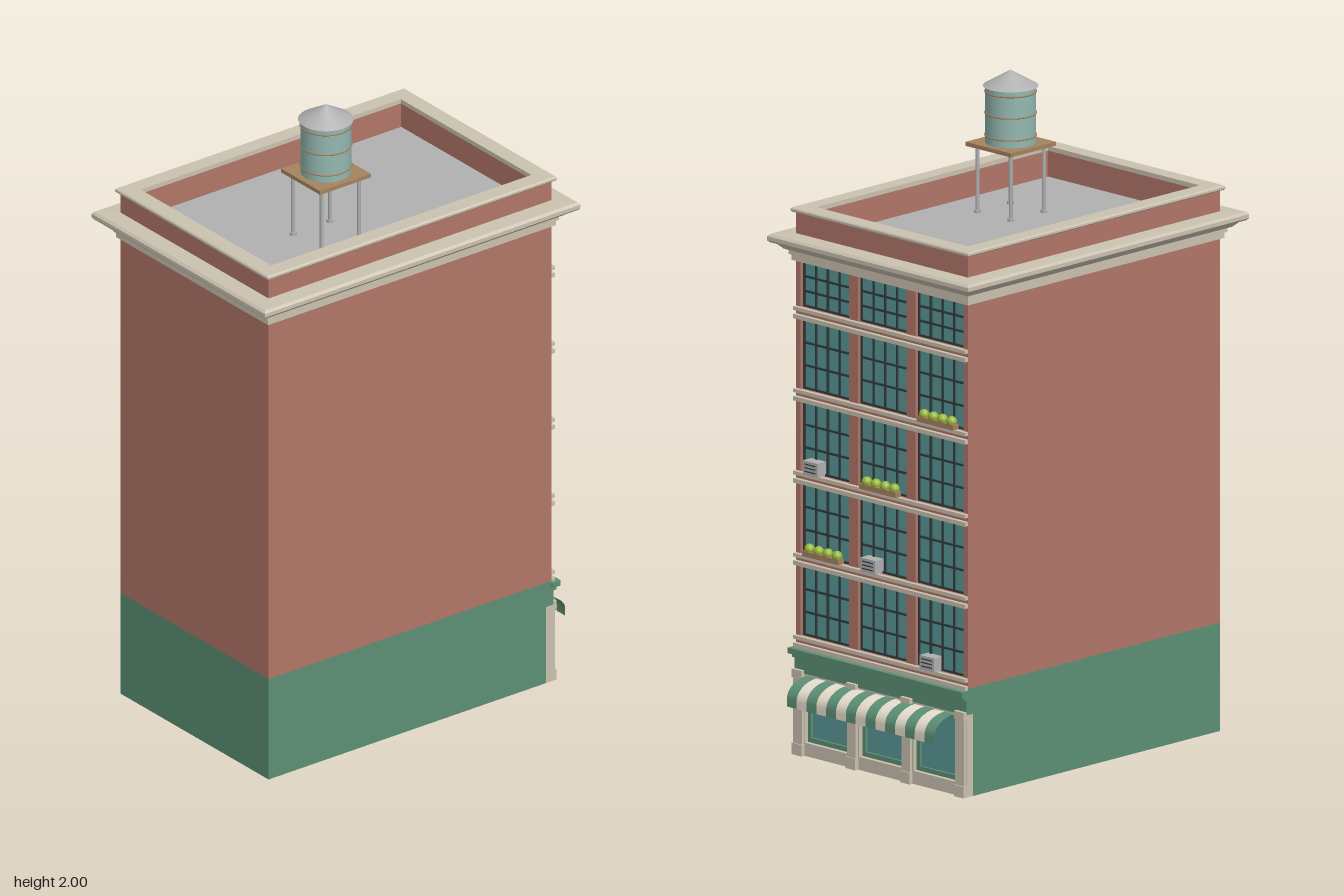
import * as THREE from 'three';

const mat = (name, color, extra = {}) => new THREE.MeshStandardMaterial({ name, color, ...extra });

export function createModel() {
  const brick = mat('brick', 0xb27668), green = mat('green paint', 0x5c9075, { side: THREE.DoubleSide });
  const stone = mat('stone', 0xcbc2b0), grey = mat('grey metal', 0xb0b0b0);
  const wood = mat('wood', 0xa5835f), tankBlue = mat('tank', 0x93b8b0);
  const glass = mat('glass', 0x5a9698), dark = mat('dark frame', 0x2f3d3d);
  const lime = mat('leaves', 0x98b83a), cream = mat('cream canvas', 0xe6ddcc, { side: THREE.DoubleSide });

  const model = new THREE.Group();
  model.name = 'building';

  const add = (name, geo, material, parent = model) => {
    const m = new THREE.Mesh(geo, material);
    m.name = name;
    parent.add(m);
    return m;
  };
  const group = (name) => {
    const g = new THREE.Group();
    g.name = name;
    model.add(g);
    return g;
  };
  // box given by its limits on each axis
  const box = (name, x0, x1, y0, y1, z0, z1, material, parent) => {
    const m = add(name, new THREE.BoxGeometry(x1 - x0, y1 - y0, z1 - z0), material, parent);
    m.position.set((x0 + x1) / 2, (y0 + y1) / 2, (z0 + z1) / 2);
    return m;
  };

  const W = 0.355, BACK = -0.51, FRONT = 0.54, INNER = -0.49;
  const ZC = (BACK + FRONT) / 2, ZH = (FRONT - BACK) / 2;

  // sweep an [offset, y] profile round the rectangular plan with mitred corners
  const rectSweep = (profile) => {
    const corners = [[-1, -1], [-1, 1], [1, 1], [1, -1]];
    const pos = [];
    const pt = ([sx, sz], [o, y]) => [sx * (W + o), y, ZC + sz * (ZH + o)];
    for (let i = 0; i < profile.length - 1; i++) {
      for (let k = 0; k < 4; k++) {
        const c0 = corners[k], c1 = corners[(k + 1) % 4];
        const a = pt(c0, profile[i]), b = pt(c1, profile[i]);
        const c = pt(c1, profile[i + 1]), d = pt(c0, profile[i + 1]);
        pos.push(...a, ...b, ...c, ...a, ...c, ...d);
      }
    }
    const g = new THREE.BufferGeometry();
    g.setAttribute('position', new THREE.Float32BufferAttribute(pos, 3));
    g.computeVertexNormals();
    return g;
  };

  // flat wall with rectangular openings [x0, x1, y0, y1]
  const piercedWall = (x, y0, y1, z0, z1, openings) => {
    const rect = (P, a, b, c, d) => {
      const p = new P();
      p.moveTo(a, c); p.lineTo(b, c); p.lineTo(b, d); p.lineTo(a, d); p.closePath();
      return p;
    };
    const s = rect(THREE.Shape, -x, x, y0, y1);
    openings.forEach((o) => s.holes.push(rect(THREE.Path, ...o)));
    const g = new THREE.ExtrudeGeometry(s, { depth: z1 - z0, bevelEnabled: false });
    return g.translate(0, 0, z0);
  };

  // main walls
  box('groundFloor', -W, W, 0, 0.33, INNER, FRONT, green);
  box('upperFloors', -W, W, 0.33, 1.56, INNER, FRONT, brick);

  // window openings: five rows of three
  const cols = [-0.237, 0, 0.237], rows = [0, 1, 2, 3, 4];
  const winHalf = 0.1;
  const windows = [];
  rows.forEach((r) => cols.forEach((c) => {
    const y0 = 0.36 + r * 0.25;
    windows.push([c - winHalf, c + winHalf, y0, r === 4 ? 1.5 : y0 + 0.213]);
  }));
  add('brickFacade', piercedWall(W, 0.33, 1.56, BACK, INNER, windows), brick);

  // glass with a dark grid of bars
  const windowGroup = group('windows');
  const bars = (x0, x1, y0, y1, nx, ny, z0, z1, t, material) => {
    for (let i = 0; i <= nx; i++) {
      const x = x0 + t / 2 + (x1 - x0 - t) * i / nx;
      box('windowBar', x - t / 2, x + t / 2, y0, y1, z0, z1, material, windowGroup);
    }
    for (let j = 0; j <= ny; j++) {
      const y = y0 + t / 2 + (y1 - y0 - t) * j / ny;
      box('windowBar', x0, x1, y - t / 2, y + t / 2, z0, z1, material, windowGroup);
    }
  };
  windows.forEach(([x0, x1, y0, y1]) => {
    box('windowGlass', x0, x1, y0, y1, INNER - 0.004, INNER, glass, windowGroup);
    bars(x0, x1, y0, y1, 4, 3, INNER - 0.009, INNER - 0.004, 0.006, dark);
  });

  // stone lintel and sill courses
  const trim = group('stoneCourses');
  rows.forEach((r) => {
    const y = 0.25 * r;
    box('lintel', -W, W, y + 0.325, y + 0.338, -0.523, BACK, stone, trim);
    box('sill', -W, W, y + 0.35, y + 0.361, -0.523, BACK, stone, trim);
  });

  // shop front
  const shop = group('shopFront');
  const bays = [-0.225, 0, 0.225].map((c) => [c - 0.09, c + 0.09, 0.04, 0.24]);
  add('shopSurround', piercedWall(W, 0, 0.25, -0.516, INNER, bays), stone, shop);
  box('fascia', -W, W, 0.25, 0.33, -0.517, INNER, green, shop);
  box('fasciaMoulding', -W, W, 0.296, 0.308, -0.528, BACK, green, shop);
  box('shopCornice', -W - 0.006, W + 0.006, 0.308, 0.325, -0.54, BACK, green, shop);
  bays.forEach(([x0, x1, y0, y1]) => {
    box('shopGlass', x0, x1, y0, y1, INNER - 0.004, INNER, glass, shop);
    bars(x0, x1, y0, y1, 1, 1, INNER - 0.012, INNER - 0.004, 0.014, green);
  });
  [-0.335, -0.1125, 0.1125, 0.335].forEach((x) => {
    box('pilaster', x - 0.018, x + 0.018, 0, 0.245, -0.525, -0.515, stone, shop);
    box('pilasterBase', x - 0.02, x + 0.02, 0, 0.035, -0.529, -0.515, stone, shop);
    box('pilasterCapital', x - 0.02, x + 0.02, 0.235, 0.26, -0.529, -0.515, stone, shop);
  });

  // striped awning: quarter curve ending in a short drop
  const awning = group('awning');
  const stripes = 15, sw = 0.61 / stripes, seg = 9;
  for (let i = 0; i < stripes; i++) {
    const g = new THREE.PlaneGeometry(sw, 1, 1, seg);
    const p = g.attributes.position;
    for (let v = 0; v < p.count; v++) {
      const k = Math.round((0.5 - p.getY(v)) * seg);
      const a = Math.min(k / (seg - 1), 1) * Math.PI / 2;
      const y = k === seg ? 0.168 : 0.19 + 0.055 * Math.cos(a);
      p.setXYZ(v, -p.getX(v), y, -0.517 - 0.083 * Math.sin(a));
    }
    g.computeVertexNormals();
    add('awningStripe', g, i % 2 ? cream : green, awning).position.x = -0.305 + sw * (i + 0.5);
  }

  // flower boxes on three sills
  [[0.237, 1], [0, 2], [-0.237, 3]].forEach(([x, r]) => {
    const y = 0.361 + 0.25 * r, fb = group('flowerBox');
    box('planter', x - 0.075, x + 0.075, y, y + 0.016, -0.53, -0.506, wood, fb);
    for (let i = 0; i < 4; i++) {
      const s = add('plant', new THREE.SphereGeometry(0.016, 10, 8), lime, fb);
      s.position.set(x - 0.057 + i * 0.038, y + 0.022, -0.516);
    }
  });

  // air conditioners
  [[-0.205, 0], [0.04, 1], [0.278, 2]].forEach(([x, r]) => {
    const y = 0.361 + 0.25 * r, ac = group('airConditioner');
    box('unit', x - 0.03, x + 0.03, y, y + 0.042, -0.53, INNER, grey, ac);
    for (let i = 0; i < 3; i++) {
      box('vent', x - 0.022, x + 0.022, y + 0.009 + i * 0.011, y + 0.012 + i * 0.011, -0.532, -0.53, dark, ac);
    }
  });

  // cornice, parapet, coping and roof
  add('cornice', rectSweep([[0, 1.5], [0.01, 1.5], [0.01, 1.516], [0.016, 1.518], [0.016, 1.53],
    [0.026, 1.534], [0.04, 1.548], [0.046, 1.554], [0.056, 1.554], [0.061, 1.56], [0.061, 1.572],
    [0.054, 1.579], [0, 1.581]]), stone);
  add('parapet', rectSweep([[0, 1.55], [0, 1.647], [-0.036, 1.647], [-0.036, 1.55]]), brick);
  add('coping', rectSweep([[-0.036, 1.646], [0.008, 1.646], [0.012, 1.65], [0.012, 1.656], [0.008, 1.66],
    [-0.042, 1.66], [-0.042, 1.646], [-0.036, 1.646]]), stone);
  box('roof', -0.33, 0.33, 1.55, 1.565, BACK + 0.025, FRONT - 0.025, grey);

  // water tower
  const tower = group('waterTower');
  tower.position.set(0.113, 0, 0.14);
  box('platform', -0.094, 0.094, 1.768, 1.78, -0.094, 0.094, wood, tower);
  for (const sx of [-1, 1]) for (const sz of [-1, 1]) {
    add('leg', new THREE.CylinderGeometry(0.006, 0.006, 0.205, 10), grey, tower)
      .position.set(sx * 0.069, 1.666, sz * 0.069);
    add('legFoot', new THREE.CylinderGeometry(0.01, 0.01, 0.01, 10), grey, tower)
      .position.set(sx * 0.069, 1.569, sz * 0.069);
  }
  add('tank', new THREE.CylinderGeometry(0.075, 0.075, 0.175, 32), tankBlue, tower).position.y = 1.8675;
  [1.803, 1.87, 1.935].forEach((y) => {
    const hoop = add('hoop', new THREE.TorusGeometry(0.0755, 0.0025, 6, 32), wood, tower);
    hoop.rotation.x = Math.PI / 2;
    hoop.position.y = y;
  });
  add('tankRoof', new THREE.ConeGeometry(0.082, 0.048, 32), grey, tower).position.y = 1.976;
  return model;
}
